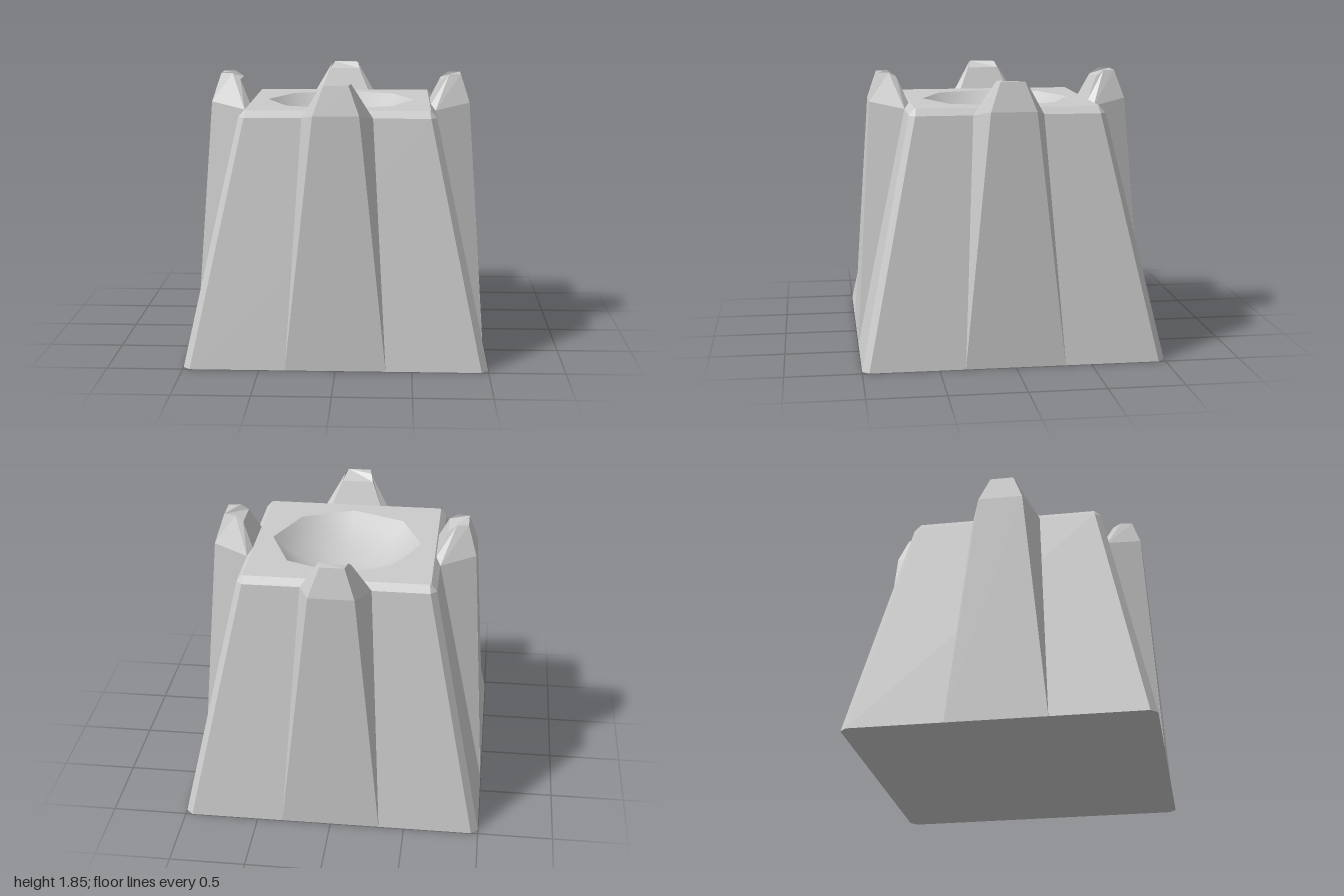
import * as THREE from 'three';

const flat = () => new THREE.MeshStandardMaterial({ color: 0xcccccc, flatShading: true });

// Skin between rings of [x, y, z] points (counter-clockwise seen from above), with optional end caps
function loft(rings, capBottom, capTop) {
  const pos = [];
  const tri = (a, b, c) => pos.push(...a, ...b, ...c);
  const n = rings[0].length;
  for (let r = 0; r < rings.length - 1; r++) {
    for (let i = 0; i < n; i++) {
      const j = (i + 1) % n, lo = rings[r], hi = rings[r + 1];
      tri(lo[i], lo[j], hi[j]);
      tri(lo[i], hi[j], hi[i]);
    }
  }
  const top = rings[rings.length - 1], bottom = rings[0];
  for (let i = 1; i < n - 1; i++) {
    if (capTop) tri(top[0], top[i], top[i + 1]);
    if (capBottom) tri(bottom[0], bottom[i + 1], bottom[i]);
  }
  const g = new THREE.BufferGeometry();
  g.setAttribute('position', new THREE.Float32BufferAttribute(pos, 3));
  g.computeVertexNormals();
  return g;
}

// Square of half-width h with corners cut by c
function cutSquare(h, c, y) {
  const k = h - c;
  return [[h, k], [h, -k], [k, -h], [-k, -h], [-h, -k], [-h, k], [-k, h], [k, h]]
    .map(([x, z]) => [x, y, z]);
}

// Mirror half a fin section (outer, side, inner points) into a closed ring
function finRing(half) {
  const mirrored = half.map(([x, y, z]) => [-x, y, z]).reverse();
  return [...half, ...mirrored];
}

export function createModel() {
  const group = new THREE.Group();
  const add = (name, geometry, material = flat()) => {
    const mesh = new THREE.Mesh(geometry, material);
    mesh.name = name;
    group.add(mesh);
    return mesh;
  };
  const topY = 1.66, bowlR = 0.51, bowlDepth = 0.22;

  // Tapered block with chamfered corners and a bevelled upper edge
  add('body', loft([
    cutSquare(1, 0.045, 0),
    cutSquare(0.655, 0.04, 1.615),
    cutSquare(0.615, 0.008, topY),
  ], true, false));

  // Flat top with an eight-sided opening
  const shape = new THREE.Shape(cutSquare(0.615, 0.008, 0).map(([x, , z]) => new THREE.Vector2(x, -z)));
  const hole = [];
  for (let i = 0; i < 8; i++) {
    const a = i * Math.PI / 4;
    hole.push(new THREE.Vector2(bowlR * Math.cos(a), bowlR * Math.sin(a)));
  }
  shape.holes.push(new THREE.Path(hole));
  add('topSurface', new THREE.ShapeGeometry(shape).rotateX(-Math.PI / 2).translate(0, topY, 0));

  // Smooth shallow bowl sunk into the top
  const R = (bowlR ** 2 + bowlDepth ** 2) / (2 * bowlDepth);
  const maxAngle = Math.asin(bowlR / R);
  const profile = [];
  for (let i = 0; i <= 8; i++) {
    const a = maxAngle * (1 - i / 8);
    profile.push(new THREE.Vector2(R * Math.sin(a), topY - bowlDepth + R * (1 - Math.cos(a))));
  }
  add('bowl', new THREE.LatheGeometry(profile, 8),
    new THREE.MeshStandardMaterial({ color: 0xcccccc, side: THREE.DoubleSide }));

  // One buttress fin on each side, rising above the top
  const fin = loft([
    finRing([[0.33, 0, 1], [0.33, 0, 0.998], [0.25, 0, 0.9]]),
    finRing([[0.15, 1.66, 0.89], [0.235, 1.615, 0.655], [0.18, 1.645, 0.62]]),
    finRing([[0.08, 1.85, 0.83], [0.095, 1.85, 0.75], [0.11, 1.81, 0.695]]),
  ], false, true);
  ['frontFin', 'leftFin', 'backFin', 'rightFin'].forEach((name, i) => {
    add(name, fin).rotation.y = i * Math.PI / 2;
  });

  return group;
}
